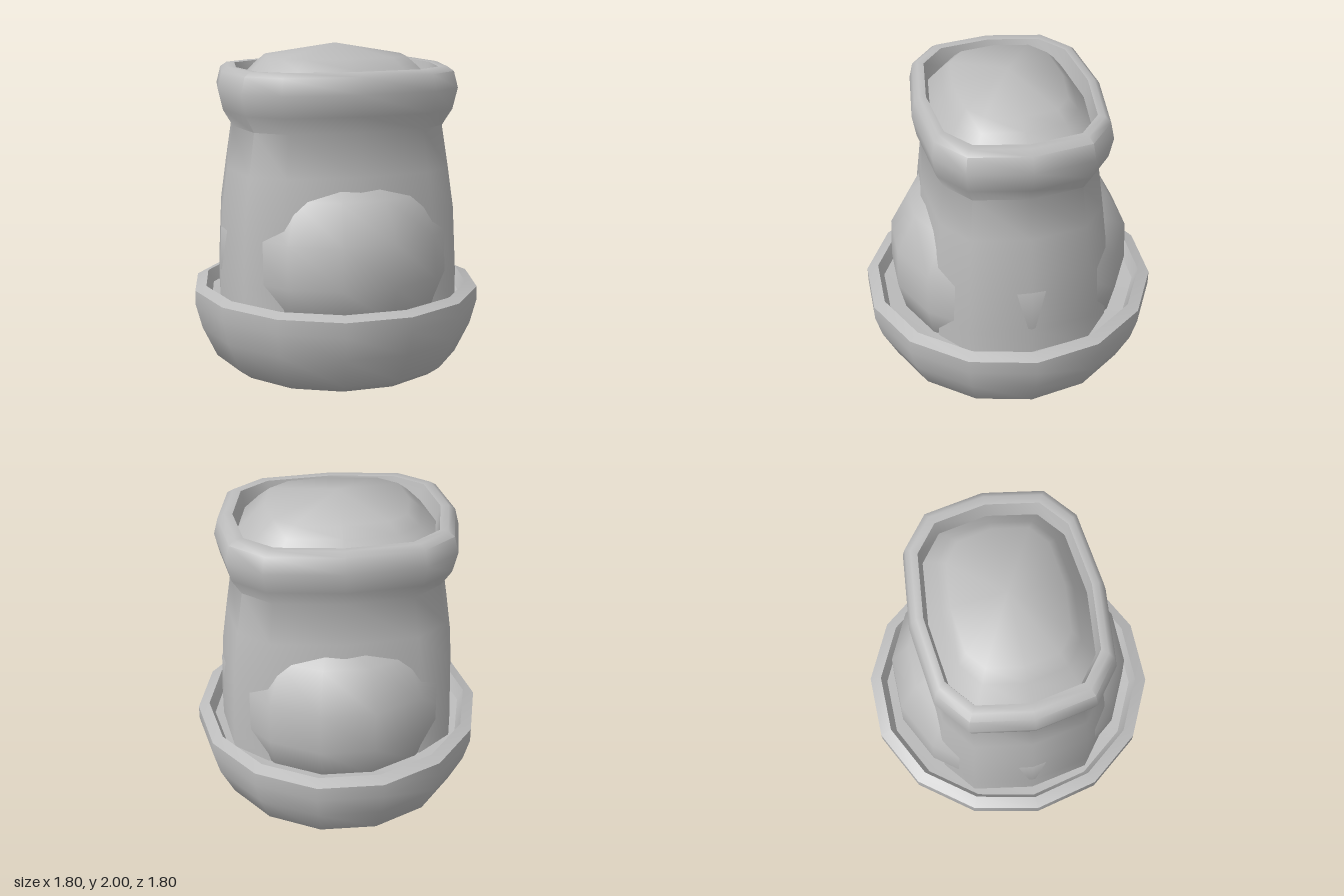
import * as THREE from 'three';
import { toCreasedNormals } from 'three/addons/utils/BufferGeometryUtils.js';

const grey = new THREE.MeshStandardMaterial({ color: 0xbcbcbc });
grey.name = 'plain grey';

// Turned part: [radius, height] points from the bottom up, squashed by zScale.
// power < 1 squares the round cross-section off towards a rounded box.
function turned(name, points, sides, zScale, power = 1) {
  const profile = points.map(([r, y]) => new THREE.Vector2(r, y));
  const geometry = new THREE.LatheGeometry(profile, sides, Math.PI / 2);
  const position = geometry.attributes.position;
  const soften = (v) => Math.sign(v) * Math.pow(Math.abs(v), power);
  for (let i = 0; i < position.count; i++) {
    const x = position.getX(i), z = position.getZ(i);
    const r = Math.hypot(x, z);
    if (r < 1e-6) continue;
    const c = Math.abs(x / r) < 1e-6 ? 0 : x / r;
    const s = Math.abs(z / r) < 1e-6 ? 0 : z / r;
    position.setX(i, r * soften(c));
    position.setZ(i, r * soften(s) * zScale);
  }
  const mesh = new THREE.Mesh(toCreasedNormals(geometry, 0.87), grey);
  mesh.name = name;
  return mesh;
}

export function createModel() {
  const model = new THREE.Group();
  model.name = 'jar';

  // Bowl with a slightly hollow foot and a thick rim
  model.add(turned('bowl', [
    [0, 0.03], [0.2, 0.03], [0.3, 0.012], [0.69, 0], [0.77, 0.06], [0.86, 0.25],
    [0.9, 0.4], [0.9, 0.49], [0.83, 0.515], [0.795, 0.44], [0.6, 0.42], [0, 0.42],
  ], 14, 1.026));

  // Bulge that pushes out through the front and back of the body
  model.add(turned('bulge', [
    [0.55, 0.3], [0.69, 0.4], [0.74, 0.62], [0.73, 0.88], [0.61, 1.12], [0.36, 1.3], [0, 1.37],
  ], 14, 1.02));

  // Tapered body with a waist, a swollen collar and a sunken opening
  model.add(turned('body', [
    [0.74, 0.4], [0.74, 0.6], [0.72, 1.0], [0.685, 1.25], [0.645, 1.51], [0.705, 1.61],
    [0.735, 1.74], [0.71, 1.84], [0.67, 1.868], [0.62, 1.865], [0.59, 1.74],
  ], 12, 0.785, 0.65));

  // Domed lid
  model.add(turned('lid', [
    [0.61, 1.75], [0.5, 1.865], [0.43, 1.925], [0, 2],
  ], 12, 0.765, 0.65));

  return model;
}
